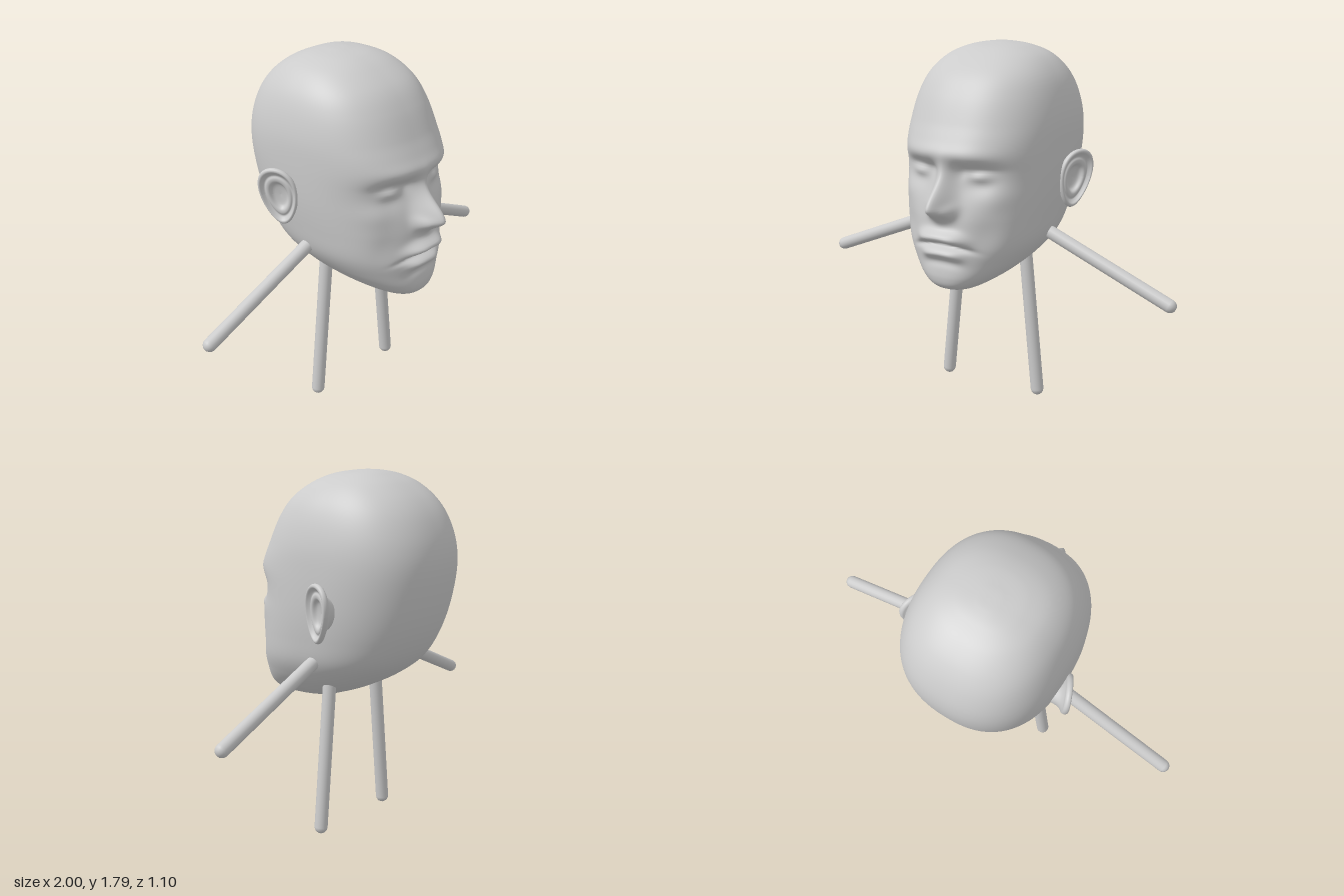
import * as THREE from 'three';

const material = new THREE.MeshStandardMaterial({ color: 0xcccccc });
const bell = (d, s) => Math.exp(-((d / s) ** 2));
// Bell with different spreads above and below its centre
const skew = (d, above, below) => bell(d, d > 0 ? above : below);
const plateau = (d, s) => Math.exp(-((d / s) ** 4));

// Head levels from chin to crown: height, front z, back z, half width, z of widest point
const LEVELS = [
  [0.633, 0.24, 0.24, 0, 0.24],
  [0.65, 0.37, 0.09, 0.085, 0.24],
  [0.675, 0.42, 0.005, 0.14, 0.21],
  [0.72, 0.437, -0.12, 0.205, 0.16],
  [0.79, 0.433, -0.26, 0.275, 0.09],
  [0.88, 0.435, -0.38, 0.33, 0.03],
  [1.0, 0.43, -0.46, 0.357, -0.02],
  [1.15, 0.405, -0.515, 0.377, -0.06],
  [1.32, 0.42, -0.545, 0.385, -0.1],
  [1.45, 0.365, -0.538, 0.38, -0.1],
  [1.57, 0.305, -0.495, 0.353, -0.1],
  [1.66, 0.235, -0.43, 0.31, -0.1],
  [1.73, 0.135, -0.34, 0.243, -0.11],
  [1.77, 0.04, -0.25, 0.155, -0.12],
  [1.787, -0.06, -0.18, 0.06, -0.12],
  [1.79, -0.12, -0.12, 0, -0.12],
];

// Forward displacement that sculpts the face
function faceRelief(x, y) {
  const ax = Math.abs(x);
  let d = 0;
  // Nose ridge, wings and the creases beside them
  const noseWidth = 0.03 + 0.024 * THREE.MathUtils.clamp((1.28 - y) / 0.2, 0, 1);
  d += 0.137 * skew(y - 1.08, 0.117, 0.06) * bell(x, noseWidth);
  d += 0.028 * bell(ax - 0.055, 0.025) * bell(y - 1.055, 0.03);
  // Brow, eye sockets and closed lids
  d += 0.012 * bell(y - 1.32, 0.035) * plateau(x, 0.24);
  d -= 0.055 * bell(ax - 0.155, 0.1) * skew(y - 1.235, 0.04, 0.085);
  d -= 0.015 * bell(ax - 0.075, 0.03) * bell(y - 1.24, 0.04);
  d += 0.03 * bell(ax - 0.165, 0.055) * bell(y - 1.215, 0.028);
  // Cheekbones and hollows
  d += 0.012 * bell(ax - 0.25, 0.07) * bell(y - 1.12, 0.06);
  d -= 0.012 * bell(ax - 0.21, 0.06) * bell(y - 0.95, 0.08);
  // Lips and the line between them
  const my = y + 0.9 * x * x;
  d += 0.052 * bell(my - 0.93, 0.03) * plateau(x, 0.125);
  d += 0.03 * bell(my - 0.848, 0.025) * plateau(x, 0.105);
  d -= 0.026 * bell(my - 0.888, 0.014) * plateau(x, 0.15);
  d -= 0.008 * bell(my - 0.8, 0.022) * plateau(x, 0.1);
  return d;
}

// Smooth lookup of all values of a level at t in 0..1
function levelAt(t) {
  const last = LEVELS.length - 1;
  const i = Math.min(Math.floor(t * last), last - 1);
  const f = t * last - i;
  const at = (n) => LEVELS[THREE.MathUtils.clamp(n, 0, last)];
  return at(i).map((p1, c) => {
    const p0 = at(i - 1)[c], p2 = at(i + 1)[c], p3 = at(i + 2)[c];
    const m1 = (p2 - p0) / 2, m2 = (p3 - p1) / 2;
    return p1 + f * (m1 + f * (3 * (p2 - p1) - 2 * m1 - m2 + f * (2 * (p1 - p2) + m1 + m2)));
  });
}

// Loft of rounded sections, with columns packed more tightly on the face
function headGeometry(rows = 225, cols = 176, power = 2.4) {
  const positions = [], index = [];
  for (let j = 0; j <= rows; j++) {
    const [y, front, back, halfWidth, mid] = levelAt(j / rows);
    const pole = j === 0 || j === rows;
    for (let i = 0; i < cols; i++) {
      const u = (2 * i) / cols - 1;
      const phi = Math.PI * u - 0.5 * Math.sin(Math.PI * u);
      const s = Math.sin(phi), c = Math.cos(phi);
      const depth = c > 0 ? front - mid : mid - back;
      const r = pole ? 0 : (Math.abs(s / halfWidth) ** power + Math.abs(c / depth) ** power) ** (-1 / power);
      const x = r * s;
      const relief = pole ? 0 : faceRelief(x, y) * THREE.MathUtils.smoothstep(c, 0, 0.6);
      positions.push(x, y, mid + r * c + relief);
      if (j < rows) {
        const a = j * cols + i, b = j * cols + ((i + 1) % cols);
        index.push(a, b, b + cols, a, b + cols, a + cols);
      }
    }
  }
  const geometry = new THREE.BufferGeometry();
  geometry.setAttribute('position', new THREE.Float32BufferAttribute(positions, 3));
  geometry.setIndex(index);
  geometry.computeVertexNormals();
  return geometry;
}

// Ear: a turned dish with a rolled rim, reshaped to taper into a lobe and flare backwards
function earGeometry() {
  const profile = [
    [0.45, -0.07], [0.62, -0.035], [0.82, -0.018], [0.95, -0.012], [1, 0], [0.97, 0.013],
    [0.89, 0.016], [0.81, 0.006], [0.72, -0.002], [0.62, 0.003], [0.5, 0], [0.35, -0.018], [0, -0.024],
  ].map(([r, h]) => new THREE.Vector2(r, h));
  const geometry = new THREE.LatheGeometry(new THREE.SplineCurve(profile).getPoints(48), 48);
  const p = geometry.attributes.position;
  for (let i = 0; i < p.count; i++) {
    const up = p.getX(i), out = p.getY(i), rear = p.getZ(i);
    const along = rear * 0.095 * (1 + 0.27 * up) + 0.012 * up;
    p.setXYZ(i,
      0.412 + 0.91 * out + 0.42 * along + 0.012 * up,
      1.147 + 0.145 * up,
      -0.125 + 0.42 * out - 0.91 * along);
  }
  geometry.computeVertexNormals();
  return geometry;
}

// Round rod between two points, with rounded ends beyond them
function rod(name, from, to, radius) {
  const a = new THREE.Vector3(...from), b = new THREE.Vector3(...to);
  const axis = b.clone().sub(a);
  const mesh = new THREE.Mesh(new THREE.CapsuleGeometry(radius, axis.length(), 4, 20), material);
  mesh.name = name;
  mesh.position.copy(a).add(b).multiplyScalar(0.5);
  mesh.quaternion.setFromUnitVectors(new THREE.Vector3(0, 1, 0), axis.normalize());
  return mesh;
}

export function createModel() {
  const model = new THREE.Group();
  model.name = 'headWithStickLimbs';

  const head = new THREE.Mesh(headGeometry(), material);
  head.name = 'head';
  model.add(head);

  // Ear, arm and leg on each side
  const earShape = earGeometry();
  for (const [side, sign] of [['left', 1], ['right', -1]]) {
    const ear = new THREE.Mesh(earShape, material);
    ear.name = side + 'Ear';
    ear.scale.x = sign;
    model.add(
      ear,
      rod(side + 'Arm', [sign * 0.3, 0.897, -0.03], [sign * 0.967, 0.62, -0.03], 0.033),
      rod(side + 'Leg', [sign * 0.188, 0.82, -0.03], [sign * 0.27, 0.033, -0.03], 0.033),
    );
  }
  return model;
}
